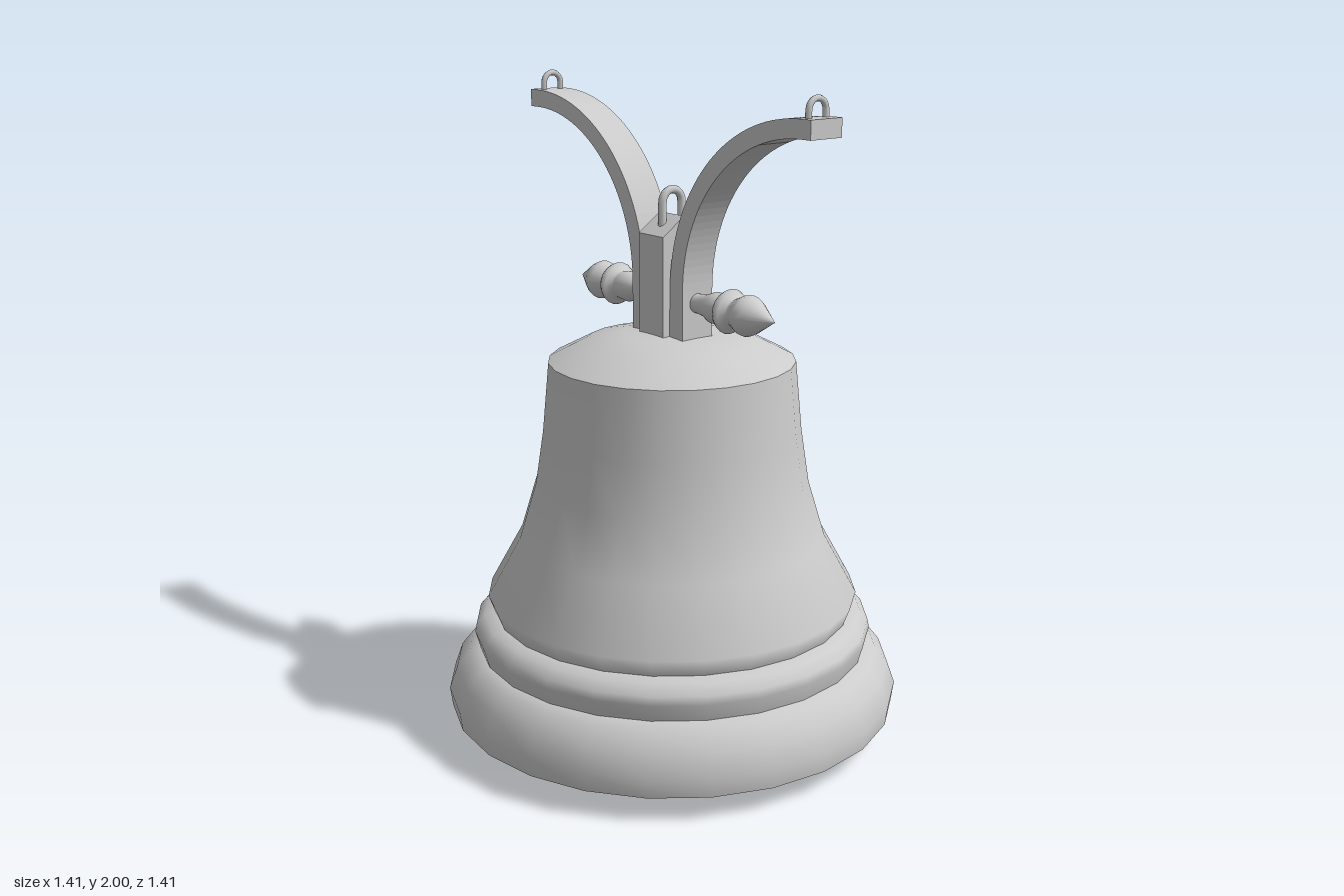
import * as THREE from 'three';

const material = new THREE.MeshStandardMaterial({ color: 0xcccccc });

function add(parent, name, geometry) {
  const mesh = new THREE.Mesh(geometry, material);
  mesh.name = name;
  parent.add(mesh);
  return mesh;
}

// Turned part from [radius, height] pairs
const turned = (points, segments = 24) =>
  new THREE.LatheGeometry(points.map(([r, y]) => new THREE.Vector2(r, y)), segments);

// Wire hoop in the YZ plane: two legs joined by a half circle
function hoop(x, base, top, radius, wire) {
  const spring = top - wire - radius;
  const points = [new THREE.Vector3(x, base, radius)];
  for (let i = 0; i <= 8; i++) {
    const a = (i / 8) * Math.PI;
    points.push(new THREE.Vector3(x, spring + radius * Math.sin(a), radius * Math.cos(a)));
  }
  points.push(new THREE.Vector3(x, base, -radius));
  return new THREE.TubeGeometry(new THREE.CatmullRomCurve3(points), 32, wire, 8);
}

// Flat outline in XY, extruded evenly about z = 0
function slab(shape, depth, curveSegments = 12) {
  const geometry = new THREE.ExtrudeGeometry(shape, { depth, bevelEnabled: false, curveSegments });
  return geometry.translate(0, 0, -depth / 2);
}

export function createModel() {
  const model = new THREE.Group();
  model.name = 'bell';

  // Bell shell, split where the surface has sharp edges
  const shell = new THREE.Group();
  shell.name = 'shell';
  model.add(shell);
  add(shell, 'crown', turned([[0.375, 1.175], [0.26, 1.235], [0.15, 1.257], [0, 1.268]]));
  add(shell, 'body', turned([
    [0.555, 0.385], [0.575, 0.44], [0.473, 0.625], [0.42, 0.8], [0.395, 0.965], [0.375, 1.175],
  ]));
  add(shell, 'band', turned([
    [0.605, 0.27], [0.62, 0.325], [0.615, 0.35], [0.59, 0.378], [0.555, 0.387],
  ]));
  add(shell, 'lip', turned([
    [0.697, 0.08], [0.705, 0.14], [0.68, 0.21], [0.64, 0.26], [0.605, 0.272],
  ]));
  add(shell, 'rim', turned([[0.615, 0.08], [0.697, 0.08]]));
  add(shell, 'innerWall', turned([
    [0, 1.2], [0.22, 1.18], [0.32, 1.12], [0.345, 0.965], [0.37, 0.8],
    [0.42, 0.625], [0.51, 0.42], [0.58, 0.24], [0.615, 0.08],
  ]));

  // Clapper
  const clapper = new THREE.Group();
  clapper.name = 'clapper';
  model.add(clapper);
  add(clapper, 'clapperRod', new THREE.CylinderGeometry(0.022, 0.03, 1.08, 12)).position.y = 0.68;
  add(clapper, 'clapperBall', new THREE.SphereGeometry(0.095, 24, 16)).position.y = 0.1;

  // Centre post with a ridged top
  const gable = new THREE.Shape([
    [-0.08, 1.25], [0.08, 1.25], [0.08, 1.56], [0, 1.615], [-0.08, 1.56],
  ].map(([z, y]) => new THREE.Vector2(z, y)));
  add(model, 'centrePost', slab(gable, 0.114)).rotation.y = Math.PI / 2;
  add(model, 'centreHoop', hoop(0, 1.56, 1.7, 0.036, 0.0125));

  // Curved arm outline: upright foot, quarter arc, short level end
  const arm = new THREE.Shape();
  arm.moveTo(0.058, 1.255);
  arm.lineTo(0.118, 1.255);
  arm.lineTo(0.118, 1.405);
  arm.absarc(0.6, 1.405, 0.482, Math.PI, Math.PI / 2, true);
  arm.lineTo(0.636, 1.887);
  arm.lineTo(0.636, 1.94);
  arm.lineTo(0.6, 1.94);
  arm.absarc(0.6, 1.4, 0.54, Math.PI / 2, Math.PI, false);
  arm.closePath();

  const finialProfile = [
    [0.03, 0.05], [0.029, 0.13], [0.034, 0.165], [0.047, 0.2], [0.044, 0.23], [0.042, 0.245],
    [0.06, 0.253], [0.066, 0.265], [0.06, 0.278], [0.04, 0.286], [0.044, 0.3],
    [0.058, 0.33], [0.06, 0.345], [0.052, 0.365], [0, 0.453],
  ];

  // Arms, their hoops and the turned cross bar on both sides
  for (const [side, turn] of [['left', 0], ['right', Math.PI]]) {
    const group = new THREE.Group();
    group.name = side + 'Side';
    group.rotation.y = turn;
    model.add(group);
    add(group, side + 'Arm', slab(arm, 0.114, 16));
    add(group, side + 'Hoop', hoop(0.6, 1.925, 2, 0.031, 0.009));
    const finial = add(group, side + 'Finial', turned(finialProfile, 20));
    finial.rotation.z = -Math.PI / 2;
    finial.position.y = 1.365;
  }
  return model;
}
